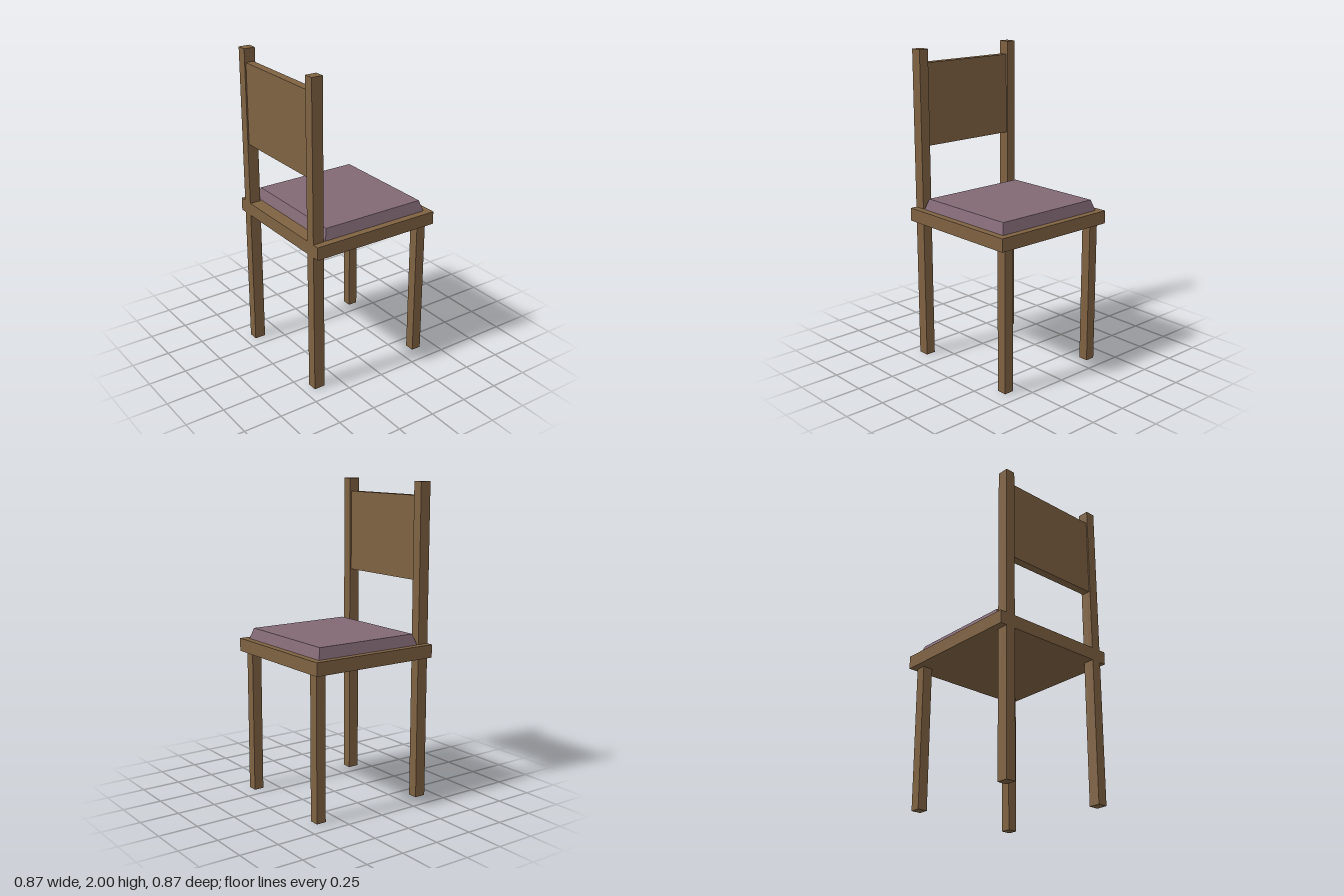
import * as THREE from 'three';

const wood = new THREE.MeshStandardMaterial({ name: 'wood', color: 0x7f6242 });
const fabric = new THREE.MeshStandardMaterial({ name: 'cushionFabric', color: 0x836975 });

// Box given by its limits on each axis
function block(name, material, [x0, x1], [y0, y1], [z0, z1]) {
  const mesh = new THREE.Mesh(new THREE.BoxGeometry(x1 - x0, y1 - y0, z1 - z0), material);
  mesh.position.set((x0 + x1) / 2, (y0 + y1) / 2, (z0 + z1) / 2);
  mesh.name = name;
  return mesh;
}

export function createModel() {
  const chair = new THREE.Group();
  chair.name = 'chair';

  // Seat slab
  chair.add(block('seat', wood, [-0.434, 0.434], [0.917, 1.0], [-0.434, 0.434]));

  // Tall posts carry the backrest; short legs stand opposite
  for (const [side, z] of [['Left', [0.326, 0.39]], ['Right', [-0.39, -0.326]]]) {
    chair.add(block('backPost' + side, wood, [-0.434, -0.361], [0, 2], z));
    chair.add(block('frontLeg' + side, wood, [0.343, 0.407], [0, 0.917], z));
  }

  // Backrest panel between the posts
  chair.add(block('backrest', wood, [-0.425, -0.372], [1.397, 1.915], [-0.326, 0.326]));

  // Cushion: a box whose top is drawn in for sloping sides
  const cushion = block('cushion', fabric, [-0.349, 0.39], [1.0, 1.069], [-0.391, 0.389]);
  const p = cushion.geometry.attributes.position;
  const inset = 0.0215;
  for (let i = 0; i < p.count; i++) {
    if (p.getY(i) > 0) {
      p.setX(i, p.getX(i) - Math.sign(p.getX(i)) * inset);
      p.setZ(i, p.getZ(i) - Math.sign(p.getZ(i)) * inset);
    }
  }
  cushion.geometry.computeVertexNormals();
  chair.add(cushion);

  return chair;
}
